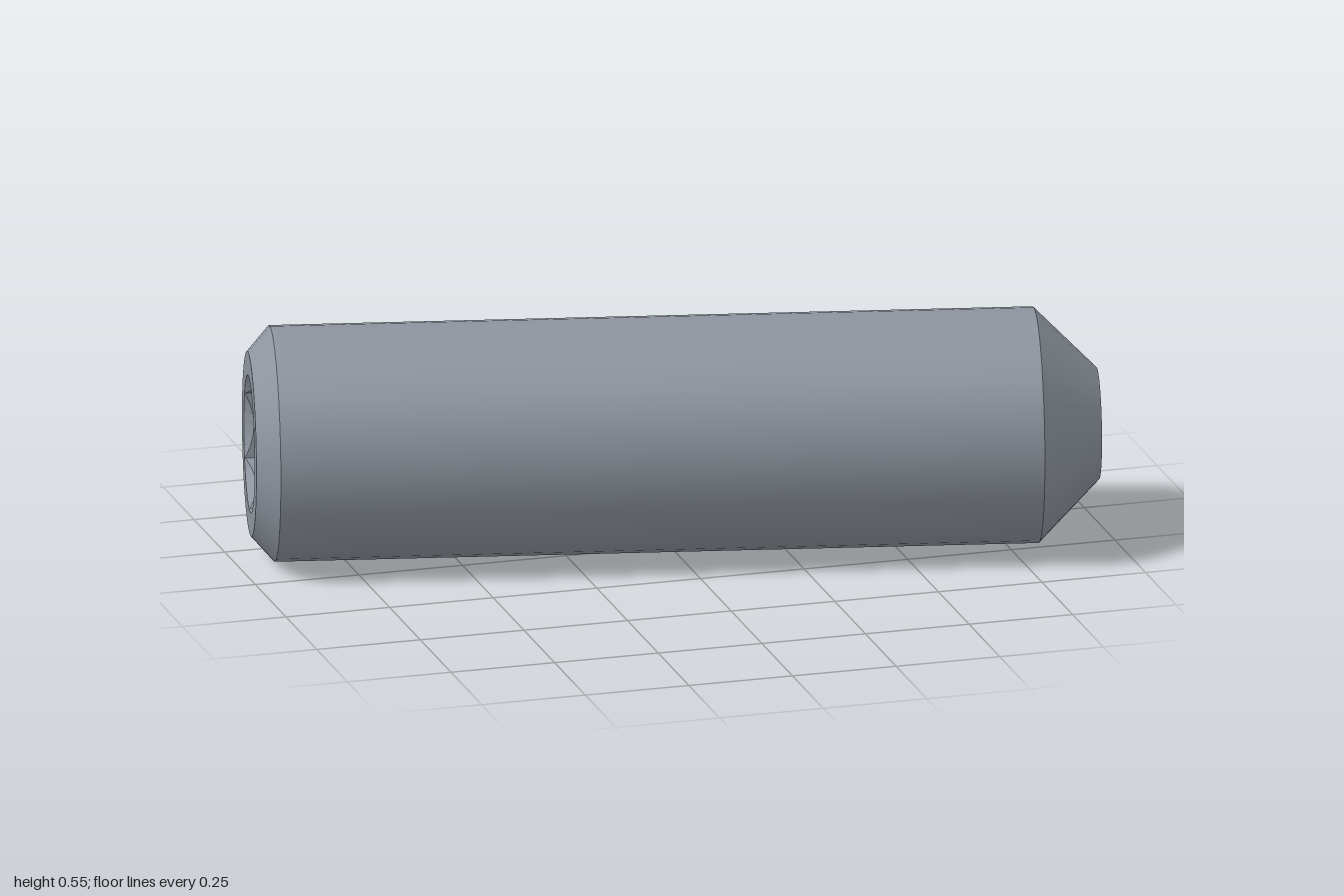
import * as THREE from 'three';

const SEGMENTS = 36;
const RADIUS = 0.274;
const SOCKET_END = -0.976; // position along the axis of the driven end
const MOUTH = 0.16;        // radius of the countersunk socket opening
const APOTHEM = 0.137;     // half the width across the socket flats

const steel = new THREE.MeshStandardMaterial({ color: 0x8d949e });
steel.name = 'steel grey';

// Turned surface between [radius, height] pairs; each section is its own
// mesh so the edges between sections stay sharp.
function turned(name, ...pairs) {
  const points = pairs.map(([r, h]) => new THREE.Vector2(r, h));
  const mesh = new THREE.Mesh(new THREE.LatheGeometry(points, SEGMENTS), steel);
  mesh.name = name;
  return mesh;
}

// Hexagonal socket: a turned pocket whose rings are pushed out to a hexagon,
// with the upper ring following the countersink so the flats end in arcs.
function hexSocket() {
  const floor = SOCKET_END + 0.33;
  const points = [
    [0, floor], [APOTHEM, floor], [APOTHEM, SOCKET_END + 0.02], [MOUTH, SOCKET_END],
  ].map(([r, h]) => new THREE.Vector2(r, h));
  const lathe = new THREE.LatheGeometry(points, SEGMENTS);
  const pos = lathe.attributes.position;
  for (let i = 0; i < pos.count; i++) {
    const ring = i % points.length;
    if (ring !== 1 && ring !== 2) continue;
    const angle = Math.floor(i / points.length) * Math.PI * 2 / SEGMENTS;
    const sixth = Math.PI / 3;
    const off = angle - Math.round(angle / sixth) * sixth;
    const r = APOTHEM / Math.cos(off);
    const y = ring === 1 ? floor : SOCKET_END + (MOUTH - r) * 0.95;
    pos.setXYZ(i, r * Math.sin(angle), y, r * Math.cos(angle));
  }
  const geometry = lathe.toNonIndexed();
  geometry.computeVertexNormals();
  const mesh = new THREE.Mesh(geometry, steel);
  mesh.name = 'hexSocket';
  return mesh;
}

export function createModel() {
  const screw = new THREE.Group();
  screw.name = 'setScrew';
  screw.add(
    hexSocket(),
    turned('socketEndFace', [MOUTH, SOCKET_END], [0.215, SOCKET_END]),
    turned('socketEndChamfer', [0.215, SOCKET_END], [RADIUS, -0.924]),
    turned('shank', [RADIUS, -0.924], [RADIUS, 0.849]),
    turned('taperedPoint', [RADIUS, 0.849], [0.13, 0.993]),
    turned('cupRecess', [0.13, 0.993], [0, 0.918]),
  );
  screw.rotation.z = -Math.PI / 2; // lay the axis along x

  const model = new THREE.Group();
  model.name = 'cupPointSetScrew';
  model.add(screw);
  model.rotation.y = -THREE.MathUtils.degToRad(12);
  model.position.y = RADIUS;

  const root = new THREE.Group();
  root.name = 'model';
  root.add(model);
  return root;
}
